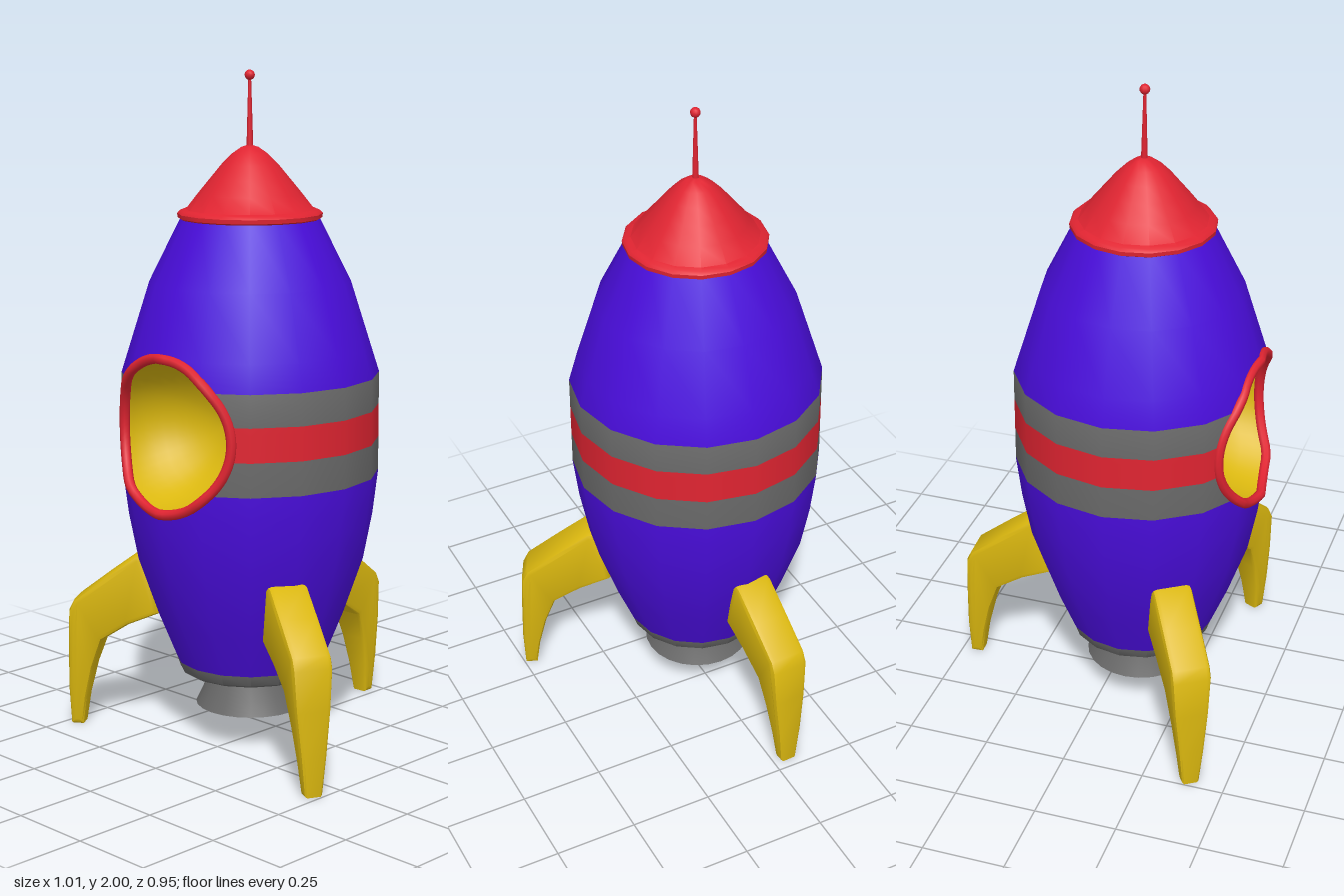
import * as THREE from 'three';
import { toCreasedNormals } from 'three/addons/utils/BufferGeometryUtils.js';

const SIDES = 16;
const HOLE_Y = 0.975, HOLE_R = 0.224;
// hull outline as [height, radius]
const HULL = [[0.25, 0.225], [0.38, 0.278], [0.55, 0.337], [0.69, 0.364], [0.82, 0.38],
  [1.12, 0.38], [1.39, 0.295], [1.58, 0.2]];

function hullRadius(y) {
  if (y <= HULL[0][0]) return HULL[0][1];
  for (let i = 1; i < HULL.length; i++) {
    const [y0, r0] = HULL[i - 1], [y1, r1] = HULL[i];
    if (y <= y1) return r0 + (r1 - r0) * (y - y0) / (y1 - y0);
  }
  return HULL[HULL.length - 1][1];
}

// radius of the many-sided hull at an angle measured from the front
function facetRadius(y, theta) {
  const step = 2 * Math.PI / SIDES;
  const local = ((theta % step) + step) % step - step / 2;
  return hullRadius(y) * Math.cos(step / 2) / Math.cos(local);
}

// angle at which the front of the hull reaches a given x
function angleAt(x, y) {
  let theta = 0;
  for (let i = 0; i < 12; i++) theta = Math.asin(Math.min(1, x / facetRadius(y, theta)));
  return theta;
}

function rimPoint(a) {
  const x = HOLE_R * Math.cos(a), y = HOLE_Y + HOLE_R * Math.sin(a);
  const theta = angleAt(Math.abs(x), y);
  return new THREE.Vector3(x, y, facetRadius(y, theta) * Math.cos(theta));
}

function buildGrid(positions, normals, index) {
  const geo = new THREE.BufferGeometry();
  geo.setAttribute('position', new THREE.Float32BufferAttribute(positions, 3));
  geo.setIndex(index);
  if (normals) geo.setAttribute('normal', new THREE.Float32BufferAttribute(normals, 3));
  else geo.computeVertexNormals();
  return geo;
}

// hull section between two heights, leaving the round porthole open
function hullBand(y0, y1) {
  let rows = [y0, y1, ...HULL.map(p => p[0])];
  for (let i = 0; i <= 24; i++) rows.push(HOLE_Y + HOLE_R * Math.cos(i / 24 * Math.PI));
  rows = rows.filter(y => y >= y0 && y <= y1).sort((a, b) => a - b)
    .filter((y, i, all) => i === 0 || y - all[i - 1] > 1e-5);
  const pos = [], nor = [], index = [];
  rows.forEach((y, i) => {
    const w2 = HOLE_R ** 2 - (y - HOLE_Y) ** 2;
    const gap = w2 > 1e-9 ? angleAt(Math.sqrt(w2), y) : 0;
    const lo = Math.max(0.25, y - 0.1), hi = Math.min(1.58, y + 0.1);
    const slope = (hullRadius(hi) - hullRadius(lo)) / (hi - lo);
    for (let k = 0; k <= SIDES; k++) {
      const t = Math.min(Math.max(k / SIDES * 2 * Math.PI, gap), 2 * Math.PI - gap);
      const r = facetRadius(y, t);
      pos.push(r * Math.sin(t), y, r * Math.cos(t));
      const n = new THREE.Vector3(Math.sin(t), -slope, Math.cos(t)).normalize();
      nor.push(n.x, n.y, n.z);
      if (i < rows.length - 1 && k < SIDES) {
        const a = i * (SIDES + 1) + k, c = a + SIDES + 1;
        index.push(a, a + 1, c, a + 1, c + 1, c);
      }
    }
  });
  return buildGrid(pos, nor, index);
}

// hollow bowl behind the porthole, its rim following the hull
function bowl() {
  const N = 48, M = 10, back = 0.1, pos = [], index = [];
  for (let i = 0; i <= M; i++) {
    const s = Math.sin(i / M * Math.PI / 2), rise = 1 - Math.cos(i / M * Math.PI / 2);
    for (let k = 0; k < N; k++) {
      const p = rimPoint(k / N * 2 * Math.PI);
      pos.push(p.x * s, HOLE_Y + (p.y - HOLE_Y) * s, back + (p.z - back) * rise);
      if (i < M) {
        const a = i * N + k, b = i * N + (k + 1) % N;
        index.push(a, a + N, b, b, a + N, b + N);
      }
    }
  }
  return buildGrid(pos, null, index);
}

function lathe(points, sides = SIDES) {
  return toCreasedNormals(
    new THREE.LatheGeometry(points.map(([r, y]) => new THREE.Vector2(r, y)), sides), 0.75);
}

// bent leg, bevelled and narrowing towards the foot
function finGeometry() {
  const outline = [[0.275, 0.375], [0.37, 0.335], [0.455, 0.28], [0.488, 0.19], [0.512, 0.09],
    [0.525, 0], [0.562, 0], [0.566, 0.12], [0.562, 0.25], [0.557, 0.37], [0.54, 0.405],
    [0.44, 0.482], [0.345, 0.552], [0.31, 0.555]];
  const shape = new THREE.Shape(outline.map(([x, y]) => new THREE.Vector2(x, y)));
  const bevel = 0.015;
  const geo = new THREE.ExtrudeGeometry(shape, {
    depth: 0.12 - 2 * bevel, bevelThickness: bevel, bevelSize: bevel,
    bevelOffset: -bevel, bevelSegments: 2,
  });
  geo.translate(0, 0, -0.06 + bevel);
  const p = geo.attributes.position;
  for (let i = 0; i < p.count; i++) {
    p.setZ(i, p.getZ(i) * (0.45 + 0.55 * Math.min(1, Math.max(0, p.getY(i) / 0.32))));
  }
  return toCreasedNormals(geo, 0.7);
}

export function createModel() {
  const mat = (name, color, side = THREE.FrontSide) => {
    const m = new THREE.MeshStandardMaterial({ color, side });
    m.name = name;
    return m;
  };
  const purple = mat('purple', 0x4a0ddd);
  const red = mat('red', 0xe02431);
  const yellow = mat('yellow', 0xdab70f);
  const grey = mat('grey', 0x6a6a6a, THREE.DoubleSide);

  const model = new THREE.Group();
  model.name = 'rocket';
  const add = (name, geometry, material) => {
    const mesh = new THREE.Mesh(geometry, material);
    mesh.name = name;
    model.add(mesh);
    return mesh;
  };

  // hull and its stripes
  add('lowerHull', hullBand(0.25, 0.825), purple);
  add('lowerGreyStripe', hullBand(0.825, 0.925), grey);
  add('redStripe', hullBand(0.925, 1.025), red);
  add('upperGreyStripe', hullBand(1.025, 1.12), grey);
  add('upperHull', hullBand(1.12, 1.58), purple);

  // porthole
  add('portholeBowl', bowl(), yellow);
  const rim = Array.from({ length: 48 }, (_, i) => rimPoint(i / 48 * 2 * Math.PI));
  add('portholeRing',
    new THREE.TubeGeometry(new THREE.CatmullRomCurve3(rim, true), 72, 0.015, 8, true), red);

  // nose with rolled lip
  add('noseCone', lathe([[0, 1.57], [0.2, 1.57], [0.211, 1.576], [0.212, 1.588], [0.204, 1.597],
    [0.187, 1.6], [0.152, 1.645], [0.115, 1.69], [0.082, 1.73], [0.052, 1.76], [0.025, 1.779],
    [0, 1.787]]), red);
  const mast = add('antennaMast', new THREE.CylinderGeometry(0.004, 0.01, 0.21, 8), red);
  mast.position.y = 1.877;
  const tip = add('antennaTip', new THREE.SphereGeometry(0.015, 10, 8), red);
  tip.position.y = 1.985;

  // base plate and open nozzle
  add('basePlate', lathe([[0, 0.21], [0.2, 0.21], [0.214, 0.218], [0.225, 0.25]]), grey);
  add('nozzle', lathe([[0.105, 0.21], [0.15, 0.105], [0.167, 0.105], [0.145, 0.15],
    [0.125, 0.21]], 24), grey);

  // three landing fins
  const fin = finGeometry();
  for (let i = 0; i < 3; i++) {
    add('landingFin' + (i + 1), fin, yellow).rotation.y = THREE.MathUtils.degToRad(-26.7 + i * 120);
  }

  model.children.forEach(part => { part.position.x -= 0.017; part.position.z += 0.09; });
  return model;
}
